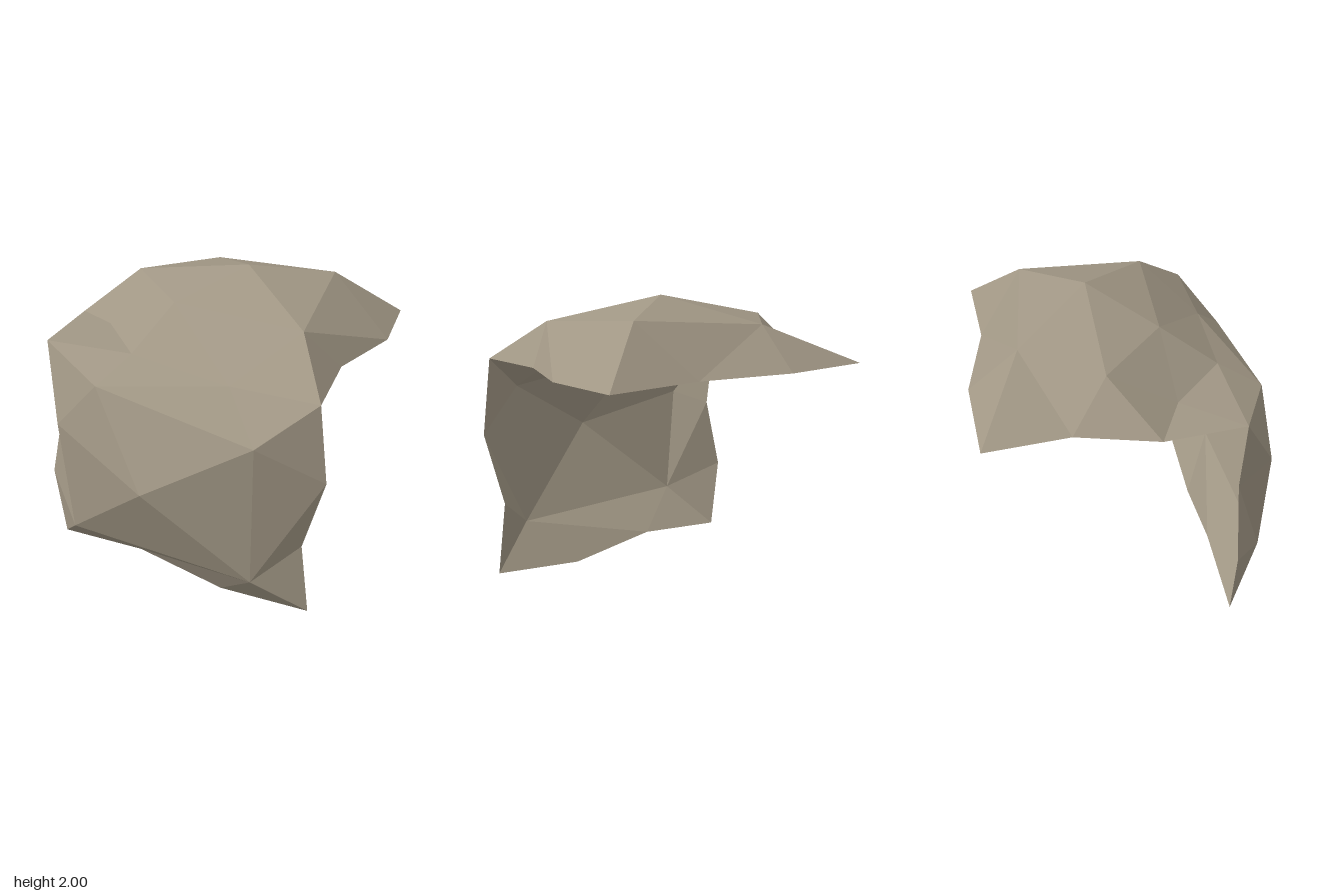
import * as THREE from 'three';

// Ridge shared by the wall and the roof
const ridge = {
  ridgeL: [-0.94, 1.57, 0.555], ridge1: [-0.32, 1.6, 0.53],
  ridge2: [0.37, 1.56, 0.57], ridgeR: [0.935, 1.57, 0.555],
};

// Roof: ragged rim at one height, with raised peaks inside
const rimY = 1.57;
const roofPoints = {
  ...ridge,
  back0: [-0.935, rimY, -0.95], back1: [-0.31, rimY, -1], back2: [0.31, rimY, -0.9], back3: [0.935, rimY, -0.95],
  left1: [-0.875, rimY, -0.44], left2: [-1, rimY, -0.05 + 0.1],
  right1: [1, rimY, -0.45], right2: [0.87, rimY, 0.05],
  rear: [-0.33, 1.83, -0.69], shoulder: [0.56, 1.9, -0.61], top: [0.11, 2, -0.23],
  west: [-0.7, 1.84, -0.22], dip: [-0.69, 1.6, 0.2], brow: [-0.21, 1.83, 0.18], east: [0.68, 1.83, 0.22],
};
// Each fan is a centre followed by its neighbours in order
const roofFans = [
  'rear left1 back0 back1 back2 shoulder top west left1',
  'east top shoulder right1 right2 ridgeR ridge2 brow top',
  'dip left2 west brow ridge1 ridgeL left2',
  'shoulder back2 back3 right1',
  'west left1 left2',
  'top west brow',
  'ridge1 brow ridge2',
];

// Wall: ragged rim in one plane, bulging forward inside
const rimZ = 0.555;
const wallPoints = {
  ...ridge,
  left1: [-0.875, 1.065, rimZ], left2: [-1, 0.555, rimZ],
  foot0: [-0.94, 0.055, rimZ], foot1: [-0.31, 0.105, rimZ], foot2: [0.31, 0, rimZ], foot3: [0.935, 0.055, rimZ],
  right1: [1, 1.06, rimZ], right2: [0.87, 0.555, rimZ],
  brow: [-0.42, 1.475, 0.795], east: [0.635, 1.32, 0.79], west: [-0.73, 1.13, 0.8],
  nose: [-0.01, 0.93, 1], lowLeft: [-0.67, 0.35, 0.8], lowRight: [0.615, 0.32, 0.755],
};
const wallFans = [
  'lowLeft left1 left2 foot0 foot1 lowRight nose west left1',
  'east brow ridge2 ridgeR right1 lowRight nose brow',
  'brow nose west ridgeL ridge1 ridge2',
  'west ridgeL left1',
  'lowRight foot1 foot2 foot3 right2 right1',
];

// Faceted sheet from fans, every facet turned towards the outward direction
function facetedSheet(name, points, fans, outward, material) {
  const positions = [];
  for (const fan of fans) {
    const [centre, ...ring] = fan.split(' ').map((key) => new THREE.Vector3(...points[key]));
    for (let i = 0; i + 1 < ring.length; i++) {
      const corners = [centre, ring[i], ring[i + 1]];
      const normal = new THREE.Triangle(...corners).getNormal(new THREE.Vector3());
      if (normal.dot(outward) < 0) corners.reverse();
      for (const corner of corners) positions.push(corner.x, corner.y, corner.z);
    }
  }
  const geometry = new THREE.BufferGeometry();
  geometry.setAttribute('position', new THREE.Float32BufferAttribute(positions, 3));
  geometry.computeVertexNormals();
  const mesh = new THREE.Mesh(geometry, material);
  mesh.name = name;
  return mesh;
}

export function createModel() {
  const stone = new THREE.MeshStandardMaterial({ color: 0xa09684, flatShading: true, side: THREE.DoubleSide });
  stone.name = 'stone';

  const group = new THREE.Group();
  group.name = 'rockOverhang';
  group.add(
    facetedSheet('rockRoof', roofPoints, roofFans, new THREE.Vector3(0, 1, 0), stone),
    facetedSheet('rockWall', wallPoints, wallFans, new THREE.Vector3(0, 0, 1), stone),
  );
  return group;
}
